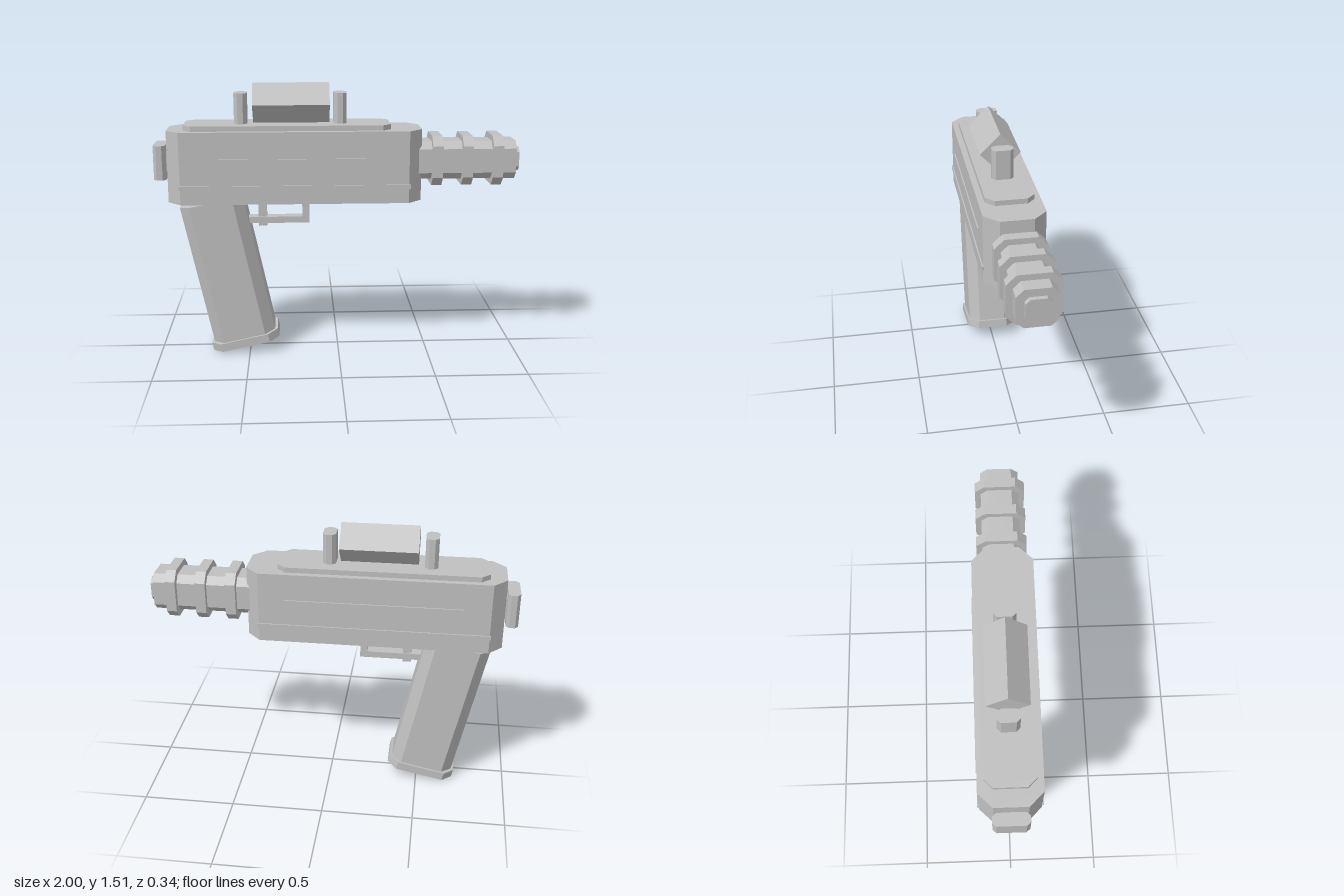
import * as THREE from 'three';

const grey = new THREE.MeshStandardMaterial({ color: 0xc0c0c0 });
grey.name = 'grey plastic';

// Rectangle outline with cut corners: half sizes a and b, cuts ca and cb
function cutRect(a, b, ca, cb) {
  return new THREE.Shape([
    [a, -b + cb], [a, b - cb], [a - ca, b], [-a + ca, b],
    [-a, b - cb], [-a, -b + cb], [-a + ca, -b], [a - ca, -b],
  ].map(([u, v]) => new THREE.Vector2(u, v)));
}

function add(parent, name, geometry, x = 0, y = 0, z = 0) {
  const mesh = new THREE.Mesh(geometry, grey);
  mesh.name = name;
  mesh.position.set(x, y, z);
  parent.add(mesh);
  return mesh;
}

// Upright prism with cut corners in plan
function upright(parent, name, x0, x1, y0, y1, halfZ, cx, cz) {
  const g = new THREE.ExtrudeGeometry(cutRect((x1 - x0) / 2, halfZ, cx, cz), { depth: y1 - y0, bevelEnabled: false });
  g.rotateX(-Math.PI / 2);
  return add(parent, name, g, (x0 + x1) / 2, y0, 0);
}

// Prism along x with an eight-sided section, centred on the barrel axis
function along(parent, name, x0, x1, half, cut) {
  const g = new THREE.ExtrudeGeometry(cutRect(half, half, cut, cut), { depth: x1 - x0, bevelEnabled: false });
  g.rotateY(Math.PI / 2);
  return add(parent, name, g, x0, 1.085, 0);
}

function box(parent, name, x0, x1, y0, y1, z0, z1) {
  return add(parent, name, new THREE.BoxGeometry(x1 - x0, y1 - y0, z1 - z0),
    (x0 + x1) / 2, (y0 + y1) / 2, (z0 + z1) / 2);
}

export function createModel() {
  const model = new THREE.Group();
  model.name = 'toyBlaster';

  // Body, top plate and rear knob
  upright(model, 'body', -0.925, 0.455, 0.867, 1.26, 0.163, 0.073, 0.075);
  upright(model, 'topPlate', -0.835, 0.285, 1.255, 1.288, 0.13, 0.045, 0.045);
  upright(model, 'rearKnob', -1, -0.934, 0.99, 1.178, 0.095, 0.017, 0.02);
  box(model, 'rearKnobStem', -0.94, -0.92, 1.03, 1.14, -0.05, 0.05);

  // Thin raised rails on both sides
  for (const s of [1, -1]) {
    const rails = new THREE.Group();
    rails.name = s > 0 ? 'frontRails' : 'backRails';
    const z0 = s > 0 ? 0.16 : -0.17;
    box(rails, 'upperRail', -0.71, 0.24, 1.088, 1.115, z0, z0 + 0.01);
    box(rails, 'lowerRail', -0.858, 0.39, 0.948, 0.97, z0, z0 + 0.01);
    model.add(rails);
  }

  // Sight: diamond bar between two posts
  upright(model, 'rearSightPost', -0.562, -0.492, 1.28, 1.453, 0.058, 0.02, 0.02);
  upright(model, 'frontSightPost', -0.022, 0.048, 1.28, 1.453, 0.058, 0.02, 0.02);
  const diamond = new THREE.Shape([[0.11, 0], [0, 0.11], [-0.11, 0], [0, -0.11]]
    .map(([u, v]) => new THREE.Vector2(u, v)));
  const sight = new THREE.ExtrudeGeometry(diamond, { depth: 0.415, bevelEnabled: false });
  sight.rotateY(Math.PI / 2);
  add(model, 'sightBar', sight, -0.46, 1.396, 0);

  // Barrel with rings and muzzle
  along(model, 'barrel', 0.4, 0.975, 0.104, 0.038);
  for (const x of [0.512, 0.677, 0.842]) along(model, 'barrelRing', x, x + 0.056, 0.136, 0.05);
  along(model, 'muzzle', 0.97, 1, 0.064, 0.023);

  // Tilted grip with a wider foot
  const grip = new THREE.Group();
  grip.name = 'grip';
  upright(grip, 'gripHandle', -0.175, 0.175, 0.04, 0.848, 0.135, 0.056, 0.057);
  upright(grip, 'gripFoot', -0.19, 0.19, 0, 0.046, 0.147, 0.055, 0.06);
  grip.position.set(-0.52, 0.0395, 0);
  grip.rotation.z = THREE.MathUtils.degToRad(12);
  model.add(grip);

  // Trigger and guard
  box(model, 'guardPost', -0.197, -0.158, 0.73, 0.88, -0.033, 0.033);
  box(model, 'guardBar', -0.51, -0.158, 0.73, 0.765, -0.033, 0.033);
  box(model, 'trigger', -0.44, -0.394, 0.713, 0.88, -0.028, 0.028);

  return model;
}
